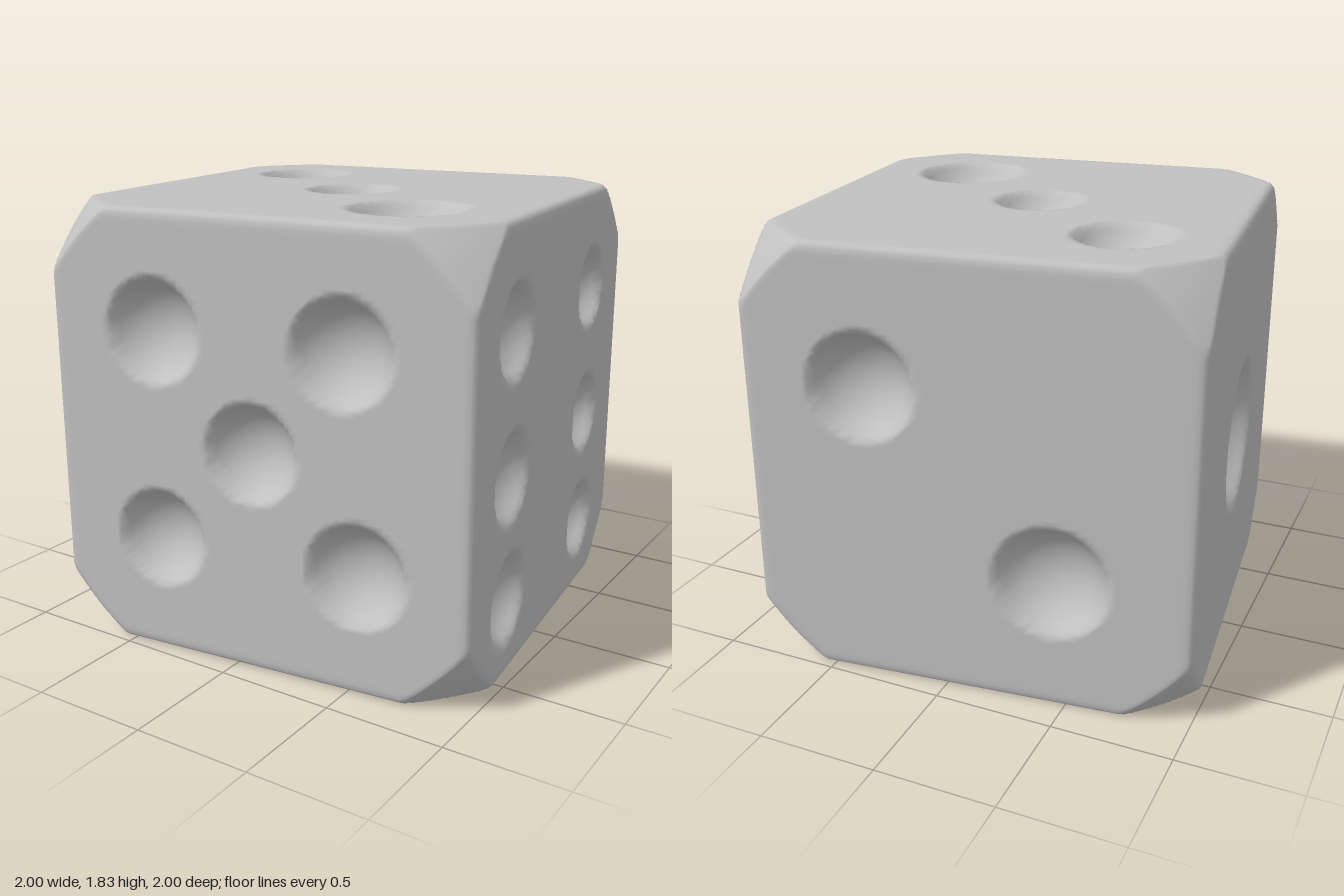
import * as THREE from 'three';
import { mergeVertices } from 'three/addons/utils/BufferGeometryUtils.js';

const HALF = 0.914;     // half the side of the cube
const EDGE = 0.035;     // small rounding along the edges
const CORNER = 1.43;    // radius of the sphere that trims the corners
const SEGMENTS = 84;

// Pips per face: axis and side of the face, then [a, b, radius, depth],
// with a and b the two other axes in x, y, z order.
const FACES = [
  { axis: 2, side: 1, pips: [[-0.43, 0.44, 0.21, 0.13], [0.39, 0.44, 0.21, 0.13], [0, 0, 0.2, 0.13],
    [-0.43, -0.42, 0.2, 0.13], [0.45, -0.42, 0.21, 0.13]] },
  { axis: 0, side: 1, pips: [0.49, -0.08, -0.59].flatMap(y => [[y, 0.5, 0.19, 0.11], [y, -0.46, 0.175, 0.11]]) },
  { axis: 1, side: 1, pips: [[-0.5, -0.46, 0.2, 0.13], [-0.02, 0, 0.18, 0.12], [0.445, 0.45, 0.23, 0.14]] },
  { axis: 0, side: -1, pips: [[-0.04, 0, 0.32, 0.17]] },
  { axis: 2, side: -1, pips: [[0.41, 0.36, 0.22, 0.14], [-0.35, -0.36, 0.235, 0.14]] },
  { axis: 1, side: -1, pips: [-0.42, 0.42].flatMap(x => [[x, -0.42, 0.21, 0.13], [x, 0.42, 0.21, 0.13]]) },
];

// Depth of a spherical bowl at distance d from its centre
function bowl(d, radius, depth) {
  if (d >= radius) return 0;
  const R = (radius * radius + depth * depth) / (2 * depth);
  return Math.sqrt(R * R - d * d) - (R - depth);
}

function dieGeometry() {
  let geo = new THREE.BoxGeometry(2 * HALF, 2 * HALF, 2 * HALF, SEGMENTS, SEGMENTS, SEGMENTS);
  geo.deleteAttribute('normal');
  geo.deleteAttribute('uv');
  geo.clearGroups();
  geo = mergeVertices(geo, 1e-4);
  const pos = geo.attributes.position;
  const p = new THREE.Vector3(), core = new THREE.Vector3();
  const inner = HALF - EDGE;
  for (let i = 0; i < pos.count; i++) {
    p.fromBufferAttribute(pos, i);
    // Rounded edges
    core.copy(p).clampScalar(-inner, inner);
    p.sub(core).setLength(EDGE).add(core);
    // Corners trimmed to a sphere
    p.clampLength(0, CORNER);
    // Hollow pips
    for (const { axis, side, pips } of FACES) {
      if (p.getComponent(axis) * side < HALF - 1e-4) continue;
      const [a, b] = [0, 1, 2].filter(k => k !== axis).map(k => p.getComponent(k));
      let sink = 0;
      for (const [u, v, radius, depth] of pips) {
        sink = Math.max(sink, bowl(Math.hypot(a - u, b - v), radius, depth));
      }
      if (sink > 0) {
        p.setComponent(axis, side * (HALF - sink));
        break;
      }
    }
    pos.setXYZ(i, p.x, p.y, p.z);
  }
  geo.computeVertexNormals();
  return geo;
}

export function createModel() {
  const stone = new THREE.MeshStandardMaterial({ color: 0xc0c0c0 });
  stone.name = 'grey stone';
  const die = new THREE.Mesh(dieGeometry(), stone);
  die.name = 'die';
  die.position.y = HALF;
  die.rotation.y = 0.105; // turned slightly on its base
  const group = new THREE.Group();
  group.name = 'gamingDie';
  group.add(die);
  return group;
}
